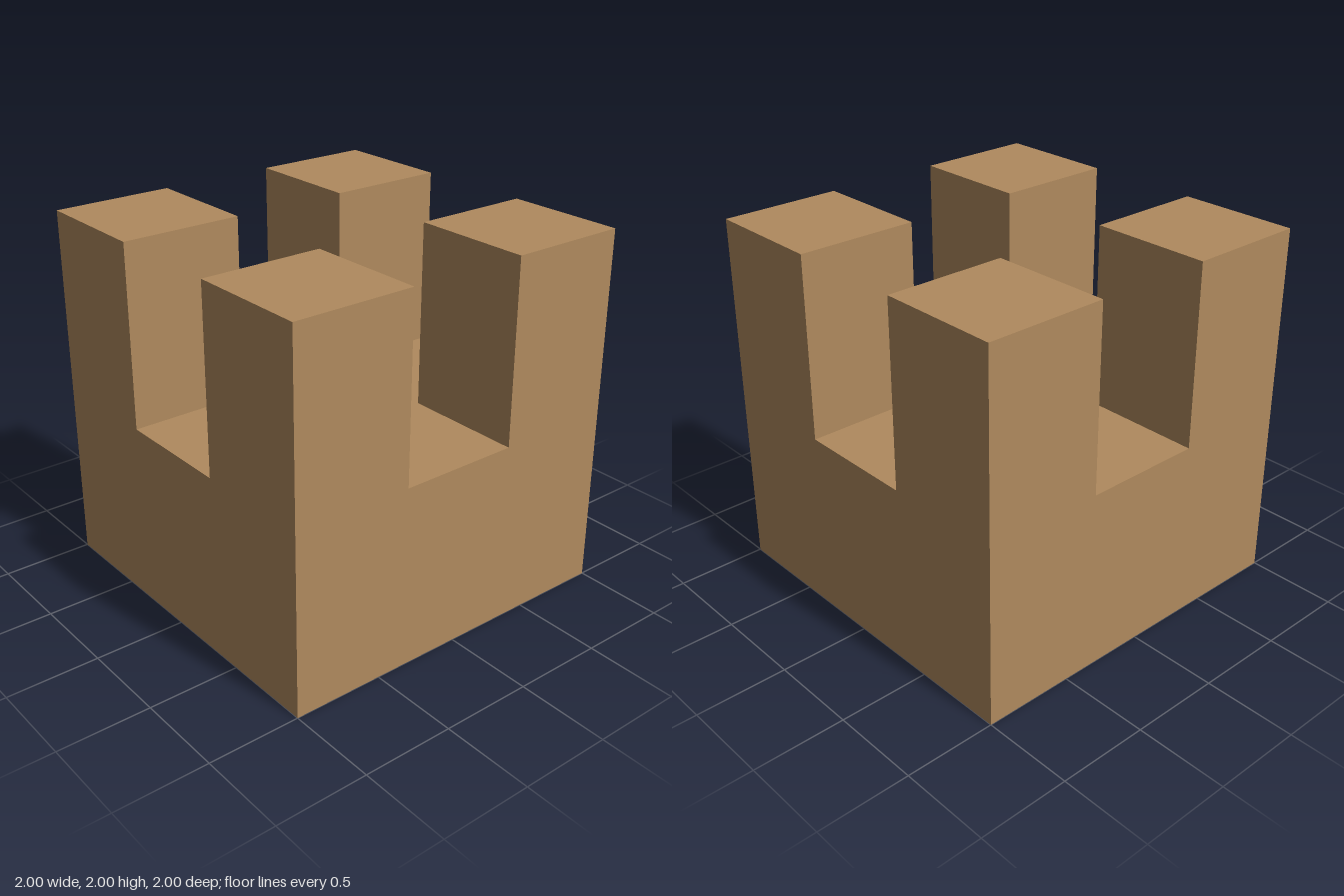
import * as THREE from 'three';

export function createModel() {
  const model = new THREE.Group();
  model.name = 'notchedBlock';

  const wood = new THREE.MeshStandardMaterial({ color: 0xb08a5e });
  wood.name = 'wood brown';

  const size = 2;
  const baseHeight = 1;
  const postWidth = size / 3;
  const postHeight = 1;

  // Solid lower half
  const base = new THREE.Mesh(new THREE.BoxGeometry(size, baseHeight, size), wood);
  base.name = 'base';
  base.position.y = baseHeight / 2;
  model.add(base);

  // Four square corner posts, leaving a cross-shaped channel between them
  const postGeometry = new THREE.BoxGeometry(postWidth, postHeight, postWidth);
  const offset = (size - postWidth) / 2;
  for (const [xSide, x] of [['Left', 1], ['Right', -1]]) {
    for (const [zSide, z] of [['front', 1], ['back', -1]]) {
      const post = new THREE.Mesh(postGeometry, wood);
      post.name = `${zSide}${xSide}Post`;
      post.position.set(x * offset, baseHeight + postHeight / 2, z * offset);
      model.add(post);
    }
  }

  return model;
}
